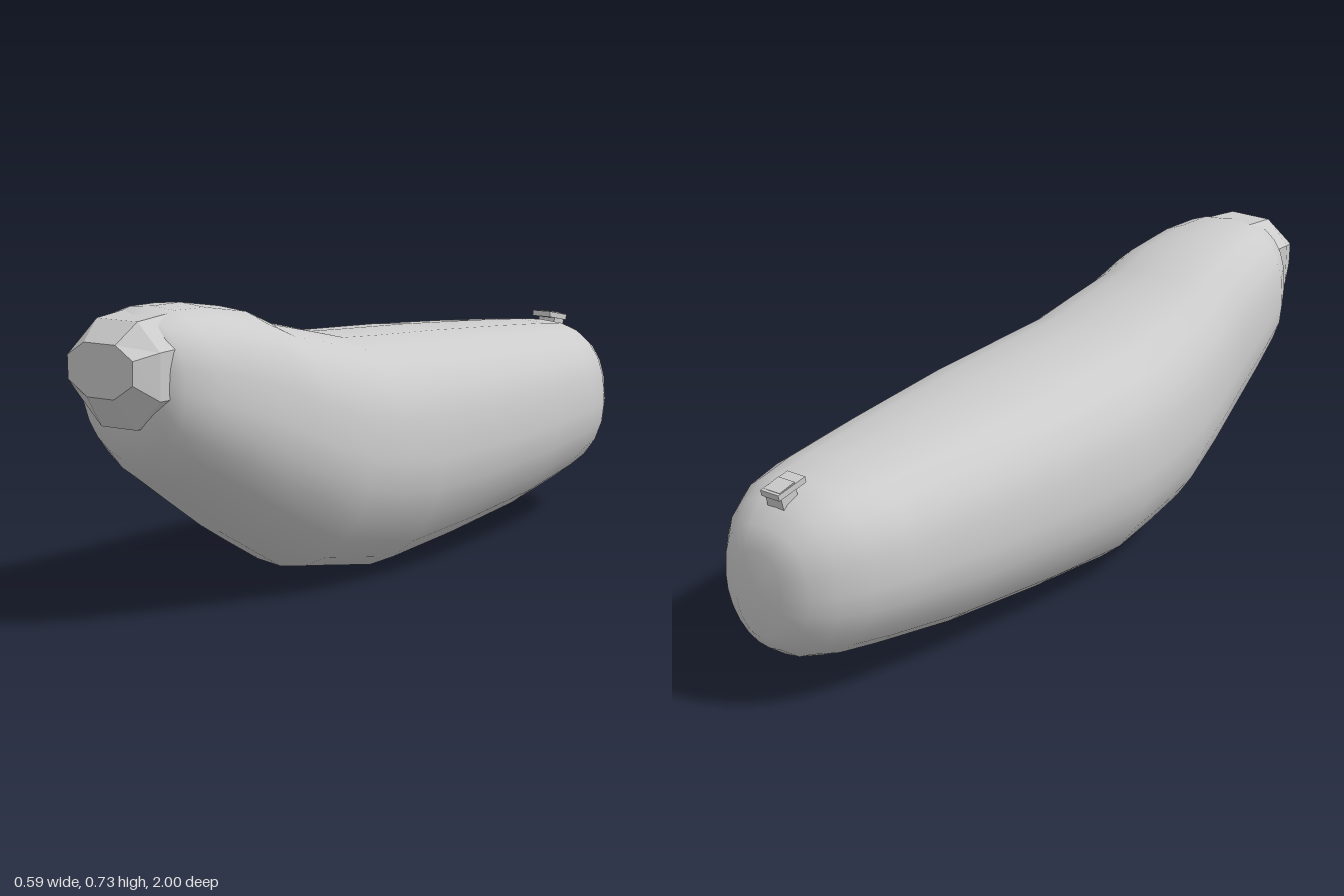
import * as THREE from 'three';

// Closed loft along z (front to back); each section is [z, bottom, top, halfWidth].
// Lower halves are elliptical, upper halves are fuller by the given exponent.
function loft(sections, sides, exponent, turn = 0) {
  const pos = [], index = [];
  for (const [z, bottom, top, w] of sections) {
    const mid = (bottom + top) / 2, h = (top - bottom) / 2;
    for (let j = 0; j < sides; j++) {
      const a = (j / sides) * Math.PI * 2 + turn;
      const c = Math.cos(a), s = Math.sin(a);
      const p = s > 0 ? 2 / exponent : 1;
      pos.push(w * Math.sign(c) * Math.abs(c) ** p, mid + h * Math.sign(s) * Math.abs(s) ** p, z);
    }
  }
  for (let i = 0; i < sections.length - 1; i++) {
    for (let j = 0; j < sides; j++) {
      const k = (j + 1) % sides;
      const a = i * sides + j, b = i * sides + k, c = a + sides, d = b + sides;
      index.push(a, c, b, b, c, d);
    }
  }
  // End fans
  const last = sections.length - 1;
  const front = sections.length * sides;
  for (const i of [0, last]) pos.push(0, (sections[i][1] + sections[i][2]) / 2, sections[i][0]);
  for (let j = 0; j < sides; j++) {
    const k = (j + 1) % sides;
    index.push(front, j, k, front + 1, last * sides + k, last * sides + j);
  }
  const g = new THREE.BufferGeometry();
  g.setAttribute('position', new THREE.Float32BufferAttribute(pos, 3));
  g.setIndex(index);
  g.computeVertexNormals();
  return g;
}

export function createModel() {
  const group = new THREE.Group();
  const smooth = new THREE.MeshStandardMaterial({ color: 0xcccccc });
  const faceted = new THREE.MeshStandardMaterial({ color: 0xcccccc, flatShading: true });
  const add = (name, geometry, material) => {
    const mesh = new THREE.Mesh(geometry, material);
    mesh.name = name;
    group.add(mesh);
    return mesh;
  };

  // Long curved body, raised at the front and blunt at the back
  add('body', loft([
    [0.93, 0.47, 0.69, 0.10],
    [0.89, 0.39, 0.72, 0.15],
    [0.82, 0.33, 0.735, 0.19],
    [0.72, 0.265, 0.733, 0.212],
    [0.58, 0.175, 0.71, 0.235],
    [0.48, 0.12, 0.668, 0.252],
    [0.35, 0.05, 0.64, 0.272],
    [0.22, 0.028, 0.61, 0.285],
    [0.08, 0.002, 0.6, 0.293],
    [-0.18, 0.02, 0.583, 0.293],
    [-0.5, 0.045, 0.557, 0.268],
    [-0.74, 0.08, 0.535, 0.24],
    [-0.85, 0.095, 0.522, 0.21],
    [-0.92, 0.115, 0.495, 0.172],
    [-0.97, 0.15, 0.45, 0.13],
    [-1.0, 0.19, 0.40, 0.07],
  ], 24, 2.5), smooth);

  // Angular stem stub at the raised end
  add('stemStub', loft([
    [1.0, 0.545, 0.675, 0.10],
    [0.94, 0.465, 0.725, 0.13],
    [0.82, 0.46, 0.735, 0.14],
  ], 8, 2.4, Math.PI / 8), faceted);

  // Little tab on top of the blunt end, with a cross lip
  const tab = add('endTab', new THREE.BoxGeometry(0.05, 0.07, 0.05), faceted);
  tab.position.set(0, 0.5, -0.91);
  tab.rotation.x = -0.25;
  const lip = add('endTabLip', new THREE.BoxGeometry(0.055, 0.015, 0.09), faceted);
  lip.position.set(0, 0.527, -0.905);
  lip.rotation.x = -0.2;

  return group;
}
